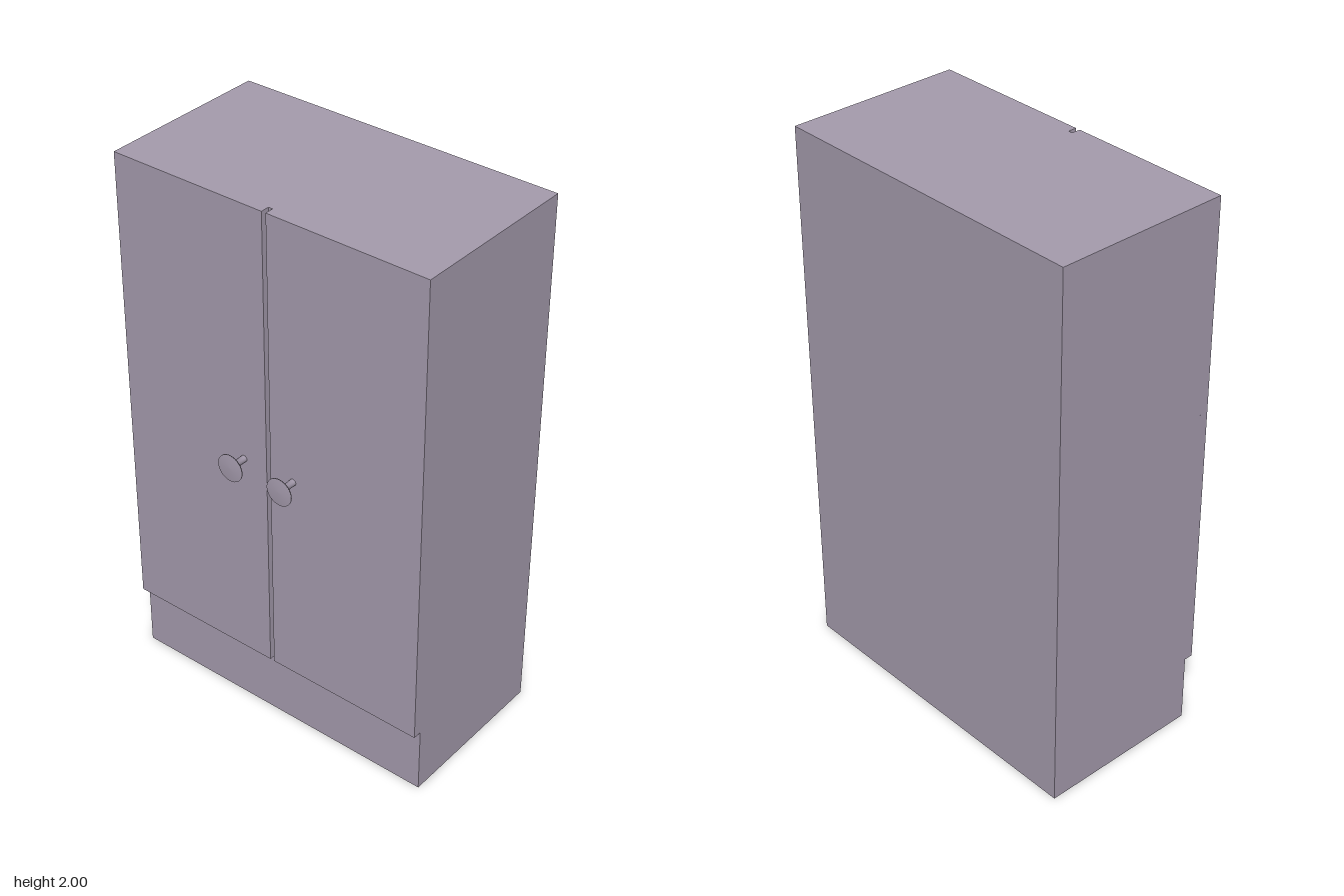
import * as THREE from 'three';

export function createModel() {
  const model = new THREE.Group();
  const material = new THREE.MeshStandardMaterial({ color: 0xa69cae });

  // Box given by its limits on each axis
  const box = (name, [x0, x1], [y0, y1], [z0, z1]) => {
    const mesh = new THREE.Mesh(new THREE.BoxGeometry(x1 - x0, y1 - y0, z1 - z0), material);
    mesh.name = name;
    mesh.position.set((x0 + x1) / 2, (y0 + y1) / 2, (z0 + z1) / 2);
    model.add(mesh);
  };

  const halfWidth = 0.606;
  const bodyFront = 0.251, doorFront = 0.283;

  // Carcass with the plinth showing below the doors
  box('cabinetBody', [-halfWidth, halfWidth], [0, 2], [-0.354, bodyFront]);

  // Two doors with a narrow gap between them
  box('rightDoor', [-halfWidth, -0.01], [0.252, 2], [bodyFront, doorFront]);
  box('leftDoor', [0.006, halfWidth], [0.252, 2], [bodyFront, doorFront]);

  // Knobs: thin stem flaring into a flat round head
  const profile = [[0.012, 0], [0.012, 0.046], [0.05, 0.066], [0.05, 0.07], [0, 0.071]]
    .map(([r, h]) => new THREE.Vector2(r, h));
  const knobGeometry = new THREE.LatheGeometry(profile, 32).rotateX(Math.PI / 2);
  for (const [name, x] of [['rightKnob', -0.105], ['leftKnob', 0.099]]) {
    const knob = new THREE.Mesh(knobGeometry, material);
    knob.name = name;
    knob.position.set(x, 1.06, doorFront);
    model.add(knob);
  }

  return model;
}
